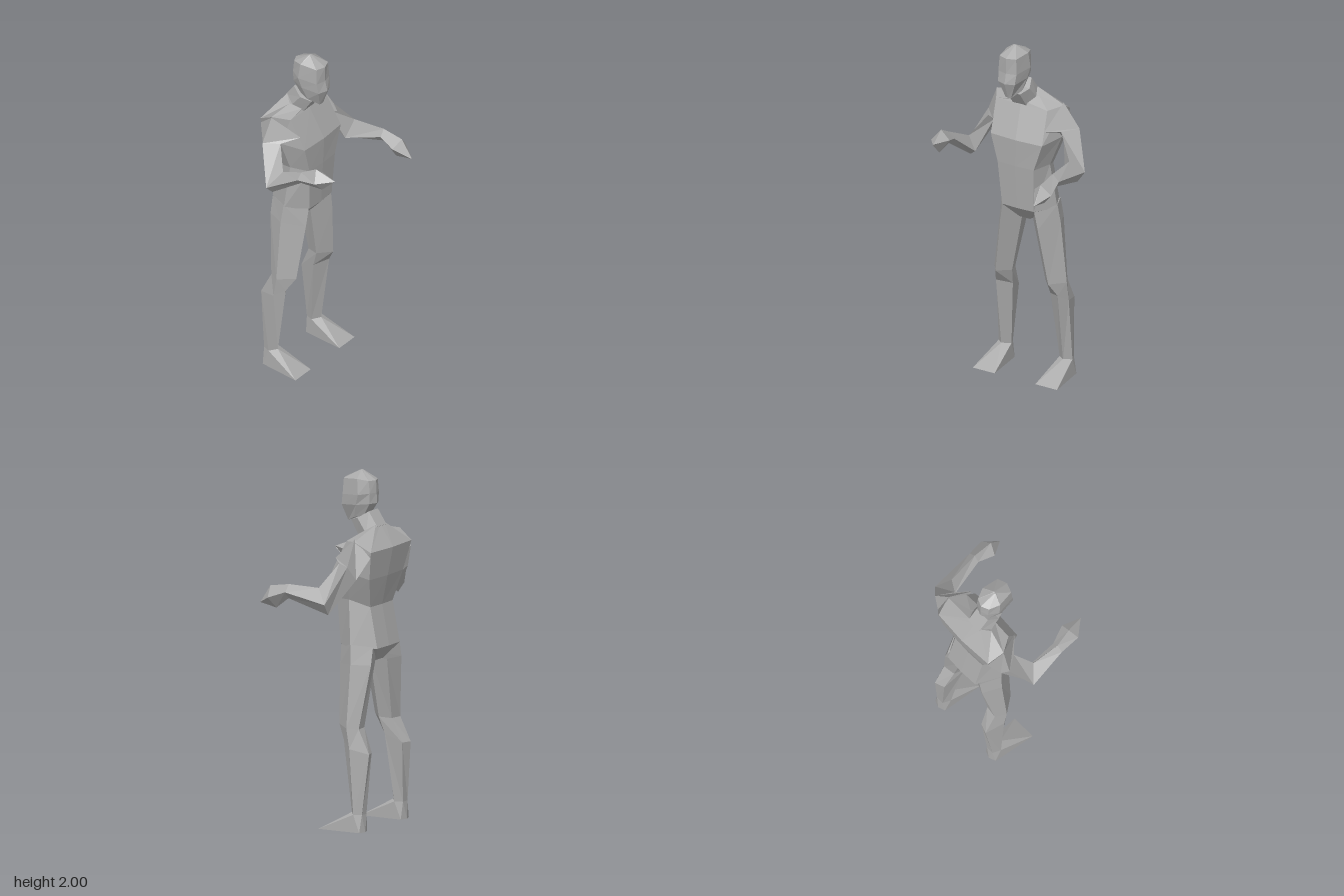
import * as THREE from 'three';
import { ConvexGeometry } from 'three/addons/geometries/ConvexGeometry.js';

// Flat-faceted skin over matching cross-sections, closed at both ends
function loft(rings) {
  const pos = [];
  const tri = (a, b, c) => pos.push(...a, ...b, ...c);
  const n = rings[0].length;
  for (let i = 0; i < rings.length - 1; i++) {
    for (let j = 0; j < n; j++) {
      const k = (j + 1) % n;
      tri(rings[i][j], rings[i][k], rings[i + 1][k]);
      tri(rings[i][j], rings[i + 1][k], rings[i + 1][j]);
    }
  }
  const cap = (ring, flip) => {
    const c = [0, 1, 2].map(a => ring.reduce((s, p) => s + p[a], 0) / n);
    for (let j = 0; j < n; j++) {
      const p = ring[j], q = ring[(j + 1) % n];
      flip ? tri(c, q, p) : tri(c, p, q);
    }
  };
  cap(rings[0], true);
  cap(rings[rings.length - 1], false);

  // Turn the faces outwards if the signed volume is negative
  let volume = 0;
  const v = i => new THREE.Vector3(pos[i], pos[i + 1], pos[i + 2]);
  for (let i = 0; i < pos.length; i += 9) volume += v(i).dot(v(i + 3).cross(v(i + 6)));
  if (volume < 0) {
    for (let i = 0; i < pos.length; i += 9) {
      for (let a = 0; a < 3; a++) [pos[i + 3 + a], pos[i + 6 + a]] = [pos[i + 6 + a], pos[i + 3 + a]];
    }
  }
  const g = new THREE.BufferGeometry();
  g.setAttribute('position', new THREE.Float32BufferAttribute(pos, 3));
  g.computeVertexNormals();
  return g;
}

// Symmetric eight-point section: front, side and back pairs plus both centres
function section(cx, [fw, fy, fz], [sw, sy, sz], [bw, by, bz], bulge = 0.01) {
  return [
    [cx, fy, fz + bulge], [cx + fw, fy, fz], [cx + sw, sy, sz], [cx + bw, by, bz],
    [cx, by, bz - bulge], [cx - bw, by, bz], [cx - sw, sy, sz], [cx - fw, fy, fz],
  ];
}

export function createModel() {
  const model = new THREE.Group();
  const grey = new THREE.MeshStandardMaterial({ color: 0xaaaaaa });
  grey.name = 'plain grey';
  const add = (name, geometry) => {
    const mesh = new THREE.Mesh(geometry, grey);
    mesh.name = name;
    model.add(mesh);
  };

  // Torso from crotch to neck base
  add('torso', loft([
    section(0, [0.035, 0.945, -0.12], [0.045, 0.945, -0.17], [0.035, 0.945, -0.24], 0),
    section(0, [0.105, 1.03, -0.05], [0.185, 1.03, -0.17], [0.11, 1.03, -0.3], 0.005),
    section(-0.005, [0.12, 1.29, -0.035], [0.16, 1.3, -0.14], [0.11, 1.26, -0.25], 0.005),
    section(0, [0.17, 1.45, -0.035], [0.215, 1.47, -0.17], [0.165, 1.43, -0.285]),
    section(-0.02, [0.17, 1.63, -0.12], [0.225, 1.645, -0.21], [0.2, 1.59, -0.305], 0.012),
    section(-0.03, [0.05, 1.65, -0.12], [0.085, 1.68, -0.18], [0.045, 1.71, -0.225], 0),
  ]));

  // Neck leaning forward
  add('neck', loft([
    section(-0.03, [0.045, 1.63, -0.115], [0.075, 1.66, -0.18], [0.045, 1.7, -0.235], 0),
    section(-0.035, [0.045, 1.72, -0.055], [0.07, 1.74, -0.115], [0.045, 1.78, -0.175], 0),
  ]));

  // Head from chin to crown
  add('head', loft([
    section(-0.04, [0.018, 1.705, -0.015], [0.05, 1.735, -0.075], [0.035, 1.745, -0.13], 0.004),
    section(-0.04, [0.055, 1.8, 0.005], [0.07, 1.81, -0.1], [0.045, 1.82, -0.175], 0.02),
    section(-0.04, [0.06, 1.86, -0.005], [0.078, 1.87, -0.12], [0.045, 1.88, -0.178], 0.016),
    section(-0.04, [0.055, 1.95, -0.01], [0.07, 1.96, -0.11], [0.045, 1.95, -0.17], 0.02),
    section(-0.045, [0.006, 1.998, -0.085], [0.008, 2, -0.09], [0.006, 1.998, -0.095], 0),
  ]));

  // Arms: shoulder, upper arm, elbow, wrist, palm, fingertip
  // Each section runs outer, bottom, inner, top
  const tip = (x, y, z) => [[x + 0.003, y, z], [x, y - 0.003, z], [x - 0.003, y, z], [x, y + 0.003, z]];
  add('leftArm', loft([
    [[0.2, 1.66, -0.21], [0.185, 1.56, -0.305], [0.16, 1.46, -0.2], [0.17, 1.53, -0.06]],
    [[0.295, 1.52, -0.225], [0.245, 1.44, -0.25], [0.225, 1.47, -0.17], [0.235, 1.52, -0.13]],
    [[0.39, 1.31, -0.135], [0.345, 1.245, -0.13], [0.288, 1.28, -0.09], [0.335, 1.39, -0.06]],
    [[0.39, 1.35, 0.13], [0.355, 1.31, 0.13], [0.32, 1.35, 0.13], [0.35, 1.39, 0.13]],
    [[0.408, 1.31, 0.235], [0.35, 1.245, 0.215], [0.293, 1.32, 0.23], [0.35, 1.367, 0.255]],
    tip(0.35, 1.265, 0.32),
  ]));
  add('rightArm', loft([
    [[-0.245, 1.64, -0.21], [-0.215, 1.56, -0.305], [-0.17, 1.46, -0.2], [-0.175, 1.53, -0.06]],
    [[-0.31, 1.5, -0.225], [-0.265, 1.43, -0.25], [-0.245, 1.46, -0.18], [-0.255, 1.5, -0.14]],
    [[-0.405, 1.29, -0.13], [-0.36, 1.245, -0.12], [-0.303, 1.29, -0.08], [-0.335, 1.385, -0.065]],
    [[-0.405, 1.42, 0.085], [-0.37, 1.385, 0.085], [-0.335, 1.42, 0.085], [-0.37, 1.455, 0.085]],
    [[-0.41, 1.44, 0.205], [-0.35, 1.38, 0.215], [-0.3, 1.455, 0.185], [-0.36, 1.505, 0.18]],
    tip(-0.34, 1.455, 0.29),
  ]));

  // Legs and wedge feet, mirrored left and right
  for (const [side, s] of [['left', 1], ['right', -1]]) {
    const flip = points => points.map(([x, y, z]) => [s * x, y, z]);
    // Each section runs outer, front, inner, inner back, outer back
    add(side + 'Leg', loft([
      [[0.185, 1.05, -0.17], [0.105, 1.03, -0.055], [0.03, 0.96, -0.15], [0.05, 0.97, -0.25], [0.13, 1.04, -0.285]],
      [[0.2, 0.94, -0.18], [0.125, 0.92, -0.06], [0.035, 0.945, -0.15], [0.06, 0.935, -0.25], [0.15, 0.94, -0.285]],
      [[0.24, 0.585, -0.18], [0.175, 0.59, -0.09], [0.11, 0.585, -0.16], [0.135, 0.58, -0.23], [0.205, 0.58, -0.24]],
      [[0.24, 0.47, -0.2], [0.205, 0.51, -0.14], [0.125, 0.49, -0.19], [0.15, 0.445, -0.29], [0.205, 0.445, -0.31]],
      [[0.245, 0.1, -0.23], [0.205, 0.1, -0.195], [0.16, 0.1, -0.23], [0.18, 0.1, -0.275], [0.225, 0.1, -0.275]],
    ].map(flip)));
    const foot = flip([
      [0.245, 0.1, -0.23], [0.205, 0.105, -0.195], [0.16, 0.1, -0.23], [0.18, 0.1, -0.275], [0.225, 0.1, -0.275],
      [0.135, 0, -0.02], [0.28, 0, -0.02], [0.245, 0, -0.27], [0.165, 0, -0.27], [0.205, 0, -0.285],
    ]);
    add(side + 'Foot', new ConvexGeometry(foot.map(p => new THREE.Vector3(...p))));
  }
  return model;
}
